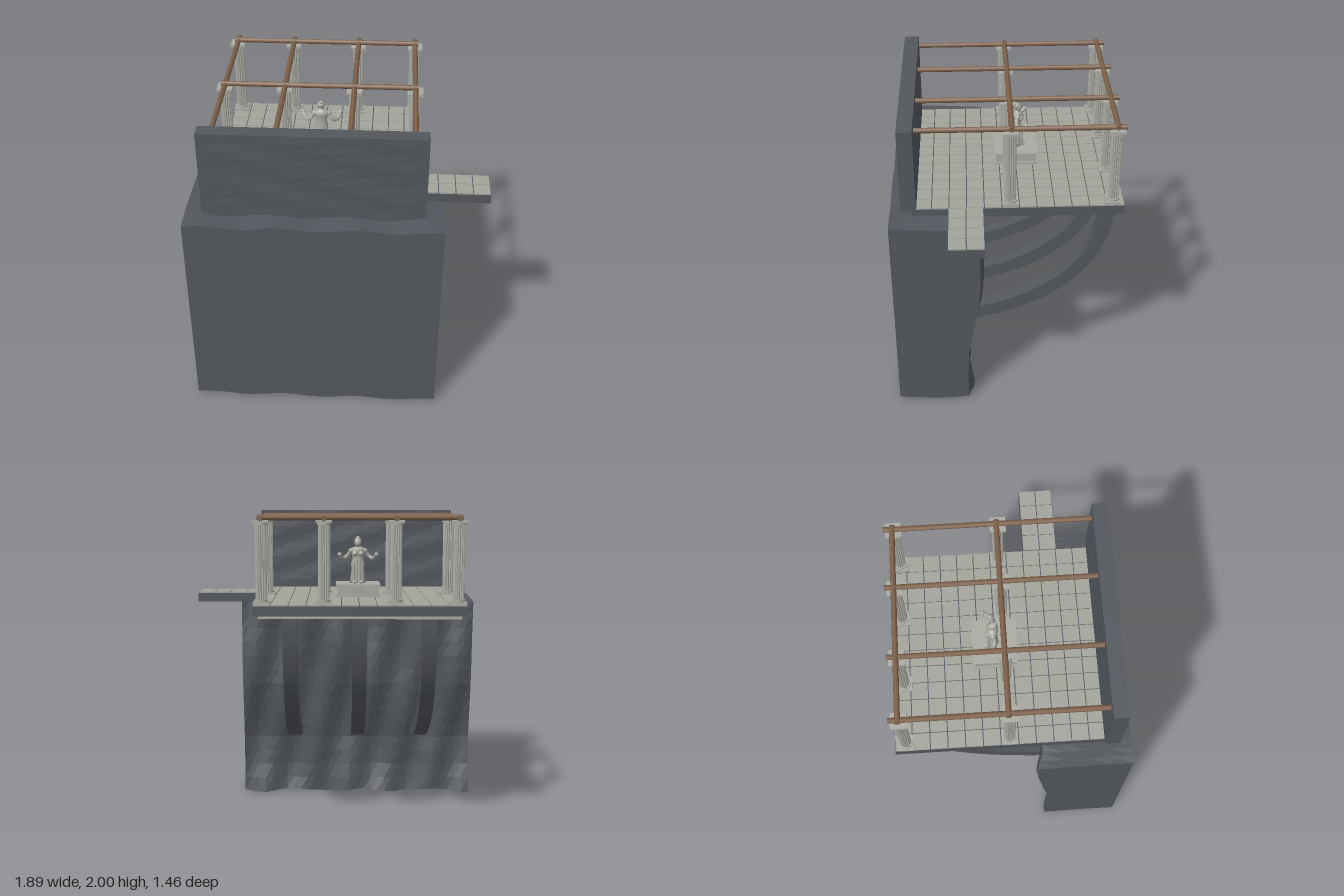
import * as THREE from 'three';
import { mergeGeometries } from 'three/addons/utils/BufferGeometryUtils.js';

const mat = (name, color) => {
  const m = new THREE.MeshStandardMaterial({ color });
  m.name = name;
  return m;
};

export function createModel() {
  const model = new THREE.Group();
  const rock = mat('dark rock', 0x53575d);
  const paving = mat('pale paving', 0xa2a49c);
  const marble = mat('marble', 0xa9aaa2);
  const wood = mat('brown wood', 0x7d6049);

  const add = (name, geo, material, parent = model) => {
    const mesh = new THREE.Mesh(geo, material);
    mesh.name = name;
    parent.add(mesh);
    return mesh;
  };
  // Box given by its limits on each axis
  const box = (x0, x1, y0, y1, z0, z1, sx = 1, sy = 1, sz = 1) =>
    new THREE.BoxGeometry(x1 - x0, y1 - y0, z1 - z0, sx, sy, sz)
      .translate((x0 + x1) / 2, (y0 + y1) / 2, (z0 + z1) / 2);
  // Move vertices by a rule, then give flat facets
  const facet = (geo, rule) => {
    const p = geo.attributes.position, v = new THREE.Vector3();
    for (let i = 0; i < p.count; i++) {
      rule(v.fromBufferAttribute(p, i));
      p.setXYZ(i, v.x, v.y, v.z);
    }
    const flat = geo.toNonIndexed();
    flat.computeVertexNormals();
    return flat;
  };

  // Cliff: flat front, rippled leaning back, wavy top and bottom
  const lean = [0.25, 0.27, 0.265, 0.225, 0.19, 0.175, 0.165, 0.15];
  const backZ = (x, y) => {
    const t = THREE.MathUtils.clamp(y / 0.2, 0, 6.999), i = Math.floor(t);
    return THREE.MathUtils.lerp(lean[i], lean[i + 1], t - i)
      + 0.018 * Math.sin(22 * x + 5 * y) + 0.012 * Math.sin(9 * x - 7 * y);
  };
  add('cliff', facet(box(-0.95, 0.65, 0, 1.4, 0, 0.73, 32, 14, 4), (v) => {
    const depth = 1 - v.z / 0.73, x = v.x, y = v.y;
    v.z = THREE.MathUtils.lerp(0.73, backZ(x, y), depth);
    const wave = 0.01 * Math.sin(13 * x + 4 * depth);
    if (y < 0.01) v.y = 0.01 + wave;
    if (y > 1.39) v.y = 1.39 + wave;
  }), rock);

  // Rough parapet wall
  add('wall', facet(box(-0.83, 0.535, 1.45, 2, 0.56, 0.655, 12, 10, 1), (v) => {
    const inside = v.x > -0.82 && v.x < 0.53 && v.y > 1.46 && v.y < 1.99;
    if (inside) v.z += 0.003 * Math.sin(9 * v.x + 31 * v.y);
  }), rock);

  // Terrace slab and side walkway
  add('terraceSlab', box(-0.8, 0.505, 1.38, 1.44, -0.73, 0.59), rock);
  add('walkwaySlab', box(0.505, 0.945, 1.38, 1.44, 0.145, 0.365), rock);

  // Paving stones with narrow joints
  const paveArea = (name, x0, z0, nx, nz, size) => {
    const stones = [], gap = 0.003;
    for (let i = 0; i < nx; i++) {
      for (let j = 0; j < nz; j++) {
        const x = x0 + i * size, z = z0 + j * size;
        stones.push(box(x + gap, x + size - gap, 1.438, 1.449, z + gap, z + size - gap));
      }
    }
    add(name, mergeGeometries(stones), paving);
  };
  paveArea('terracePaving', -0.8, -0.73, 12, 12, 0.1088);
  paveArea('walkwayPaving', 0.507, 0.146, 4, 2, 0.1092);

  // Curved supports under the terrace
  const curve = new THREE.CubicBezierCurve(
    new THREE.Vector2(-0.66, 1.38), new THREE.Vector2(-0.66, 0.9),
    new THREE.Vector2(-0.35, 0.57), new THREE.Vector2(0.3, 0.455));
  const outer = [], inner = [];
  for (let i = 0; i <= 24; i++) {
    const p = curve.getPoint(i / 24), t = curve.getTangent(i / 24);
    outer.push(new THREE.Vector2(p.x + t.y * 0.046, p.y - t.x * 0.046));
    inner.unshift(new THREE.Vector2(p.x - t.y * 0.046, p.y + t.x * 0.046));
  }
  const braceGeo = new THREE.ExtrudeGeometry(new THREE.Shape([...outer, ...inner]),
    { depth: 0.09, bevelEnabled: false });
  braceGeo.rotateY(-Math.PI / 2).translate(0.045, 0, 0);
  for (const x of [0.28, -0.15, -0.58]) add('curvedSupport', braceGeo, rock).position.x = x;
  add('supportStrip', box(-0.77, 0.475, 1.36, 1.381, -0.71, -0.615), marble);

  // Fluted columns with square bases and capitals
  const columnX = [-0.752, -0.37, 0.07, 0.453], columnZ = [-0.66, -0.022];
  const shaft = facet(new THREE.CylinderGeometry(0.035, 0.035, 0.47, 32, 1, true), (v) => {
    const k = Math.round(Math.atan2(v.x, v.z) / (Math.PI / 16));
    if (k % 2) { v.x *= 0.85; v.z *= 0.85; }
  });
  for (const x of columnX) {
    for (const z of columnZ) {
      const column = new THREE.Group();
      column.name = 'column';
      column.position.set(x, 0, z);
      model.add(column);
      add('shaft', shaft, marble, column).position.y = 1.707;
      for (const [y, s] of [[1.456, 1], [1.948, -1]]) {
        add('squareBlock', new THREE.BoxGeometry(0.098, 0.016, 0.098), marble, column).position.y = y;
        add('roundCollar', new THREE.CylinderGeometry(0.042, 0.042, 0.012, 20), marble, column)
          .position.y = y + s * 0.014;
      }
    }
  }

  // Timber pergola
  const beam = (name, length) => add(name, new THREE.CylinderGeometry(0.017, 0.017, length, 8), wood);
  for (const x of columnX) {
    const b = beam('longBeam', 1.275);
    b.rotation.x = Math.PI / 2;
    b.position.set(x, 1.967, -0.0825);
  }
  for (const z of [-0.665, -0.03]) {
    const b = beam('crossBeam', 1.25);
    b.rotation.z = Math.PI / 2;
    b.position.set(-0.15, 1.972, z);
  }

  // Pedestal with a small plate on its back face
  add('pedestalBase', box(-0.295, 0, 1.445, 1.465, -0.222, 0.062), marble);
  add('pedestal', box(-0.285, -0.01, 1.465, 1.52, -0.212, 0.052), marble);
  add('pedestalTop', box(-0.293, -0.002, 1.52, 1.531, -0.22, 0.06), marble);
  add('pedestalPlate', box(-0.19, -0.105, 1.477, 1.508, -0.217, -0.212), paving);

  // Robed statue facing the open edge, arms spread
  const statue = new THREE.Group();
  statue.name = 'statue';
  statue.position.set(-0.148, 1.53, -0.09);
  model.add(statue);
  const profile = [[0, 0], [0.052, 0], [0.05, 0.02], [0.042, 0.09], [0.045, 0.13], [0.034, 0.165],
    [0.045, 0.2], [0.052, 0.22], [0.035, 0.235], [0.014, 0.242], [0.012, 0.26], [0, 0.26]];
  add('robe', new THREE.LatheGeometry(profile.map(([r, y]) => new THREE.Vector2(r, y)), 24), marble, statue)
    .scale.z = 0.68;
  const ball = (name, r, x, y, z, sy = 1) => {
    const m = add(name, new THREE.SphereGeometry(r, 14, 10), marble, statue);
    m.position.set(x, y, z);
    m.scale.y = sy;
  };
  ball('head', 0.022, 0, 0.265, -0.008, 1.25);
  ball('hair', 0.024, 0, 0.276, 0.004);
  ball('hairKnot', 0.012, 0, 0.298, 0.016);
  for (const s of [-1, 1]) {
    const arm = new THREE.CatmullRomCurve3([[0.045, 0.215, 0], [0.075, 0.175, 0.008],
      [0.1, 0.165, -0.01], [0.12, 0.185, -0.05]].map(([x, y, z]) => new THREE.Vector3(s * x, y, z)));
    add('arm', new THREE.TubeGeometry(arm, 14, 0.013, 8), marble, statue);
    ball('hand', 0.014, s * 0.121, 0.192, -0.056);
    ball('shoulder', 0.018, s * 0.045, 0.213, 0);
    ball('chest', 0.019, s * 0.02, 0.195, -0.024);
    ball('foot', 0.016, s * 0.02, 0.008, -0.035, 0.6);
    // Robe folds
    for (const x of [0.01, 0.028]) {
      const fold = add('robeFold', new THREE.CylinderGeometry(0.006, 0.011, 0.15, 8), marble, statue);
      fold.position.set(s * x, 0.075, -0.028);
    }
  }
  return model;
}
